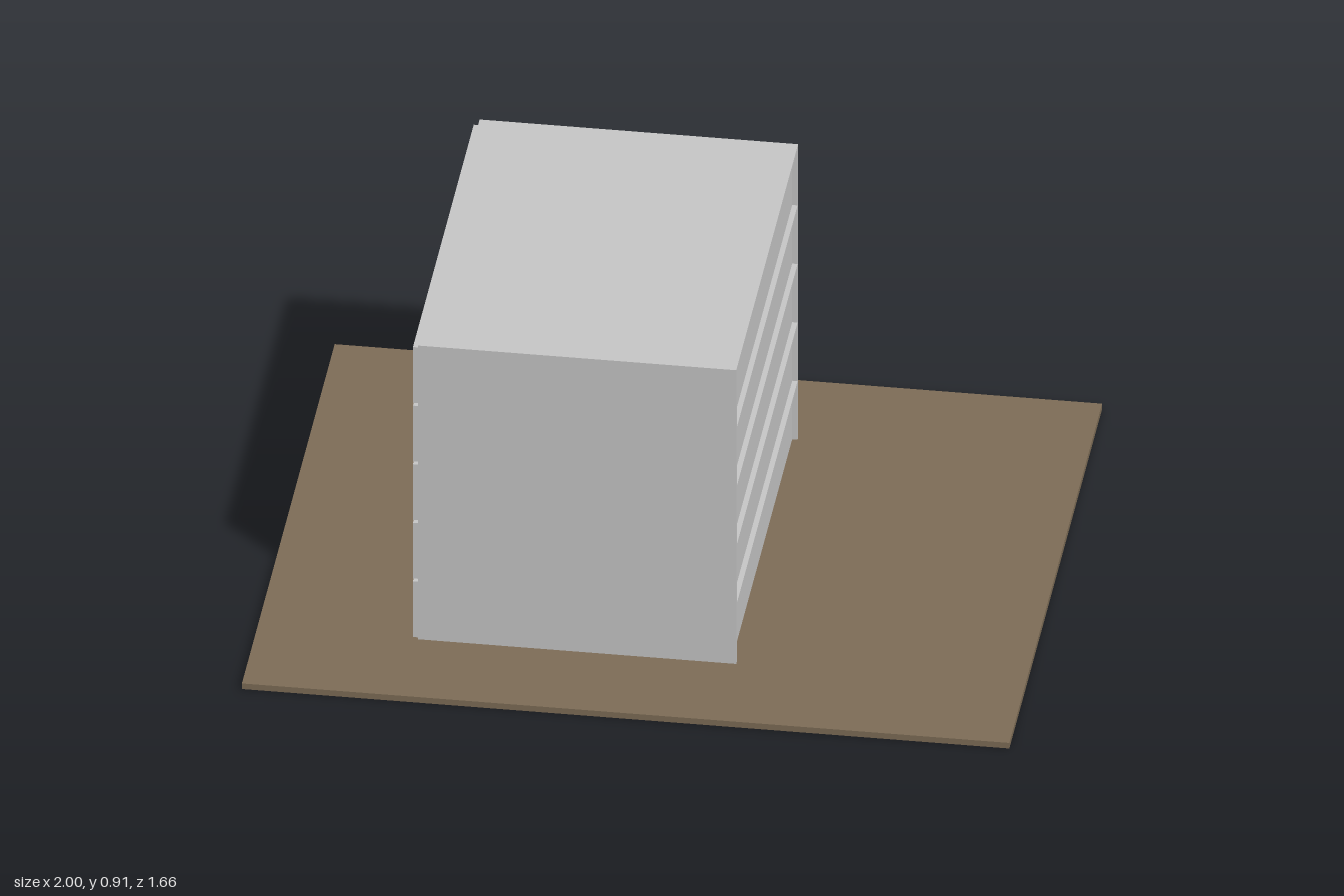
import * as THREE from 'three';

export function createModel() {
  const model = new THREE.Group();
  const grey = new THREE.MeshStandardMaterial({ color: 0xc8c8c8 });
  grey.name = 'light grey';
  const brown = new THREE.MeshStandardMaterial({ color: 0x7e6d57 });
  brown.name = 'earth brown';

  // Box given by its lower and upper limits on each axis
  function block(name, mat, [x0, x1], [y0, y1], [z0, z1], parent = model) {
    const mesh = new THREE.Mesh(new THREE.BoxGeometry(x1 - x0, y1 - y0, z1 - z0), mat);
    mesh.position.set((x0 + x1) / 2, (y0 + y1) / 2, (z0 + z1) / 2);
    mesh.name = name;
    parent.add(mesh);
  }

  const ground = 0.017, top = 0.912, halfDepth = 0.553, rim = 0.009;
  const left = -0.582, right = 0.248, recess = 0.014;
  const rows = 5, pitch = 0.1785, gap = 0.009;

  block('groundSlab', brown, [-1, 1], [0, ground], [-0.83, 0.83]);
  block('body', grey, [left, right - recess], [ground, top], [-halfDepth, halfDepth]);

  // Rim and floor bars around the recessed panels on the +x side
  const frame = new THREE.Group();
  frame.name = 'recessedPanelFrame';
  model.add(frame);
  const frameX = [right - recess, right];
  for (const s of [-1, 1]) {
    const z = [s * halfDepth, s * (halfDepth - rim)].sort((a, b) => a - b);
    block('sideRim', grey, frameX, [ground, top], z, frame);
  }
  const inner = [-halfDepth + rim, halfDepth - rim];
  block('topRim', grey, frameX, [ground + rows * pitch - gap, top], inner, frame);
  for (let i = 1; i < rows; i++) {
    const y = ground + i * pitch;
    block('floorBar', grey, frameX, [y - gap, y], inner, frame);
  }

  // Raised panels on the -x side, one per floor
  const panels = new THREE.Group();
  panels.name = 'raisedPanels';
  model.add(panels);
  for (let i = 0; i < rows; i++) {
    const y = ground + i * pitch;
    block('raisedPanel', grey, [left - recess, left], [y, y + pitch - gap], inner, panels);
  }
  return model;
}
